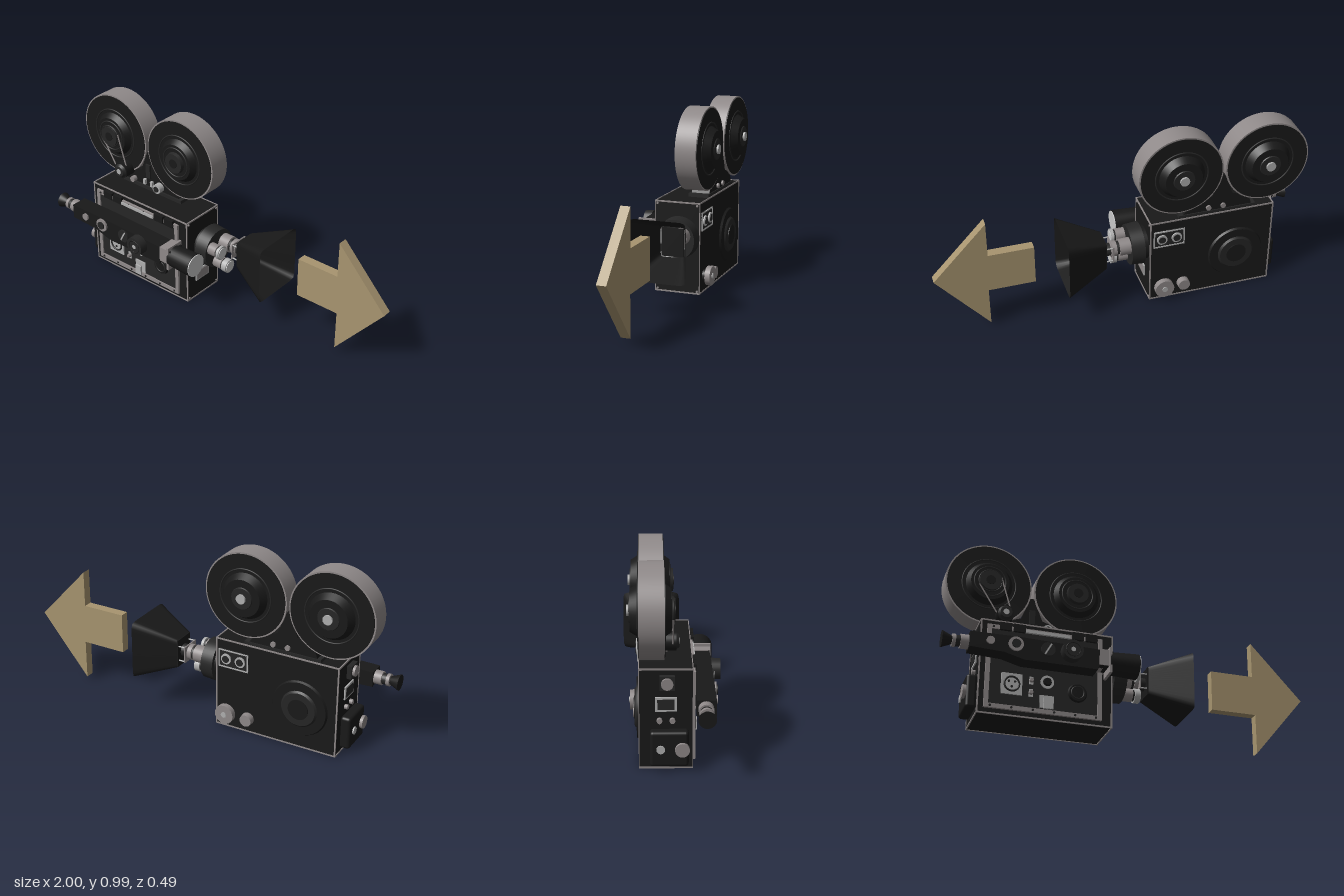
import * as THREE from 'three';
import { RoundedBoxGeometry } from 'three/addons/geometries/RoundedBoxGeometry.js';

const mat = (color) => new THREE.MeshStandardMaterial({ color });
const black = mat(0x191919), dark = mat(0x262626), steel = mat(0x8f8989), silver = mat(0xb0b0b0);
const glass = mat(0xcfcfcf), tan = mat(0xa89570);
const hoodBlack = mat(0x191919);
hoodBlack.side = THREE.DoubleSide;

export function createModel() {
  const root = new THREE.Group();
  let part = root;
  const group = (name) => { part = new THREE.Group(); part.name = name; root.add(part); };
  const add = (name, geo, m, x = 0, y = 0, z = 0) => {
    const mesh = new THREE.Mesh(geo, m);
    mesh.name = name;
    mesh.position.set(x, y, z);
    part.add(mesh);
    return mesh;
  };
  // box given by its extents on each axis
  const box = (name, m, [x0, x1], [y0, y1], [z0, z1]) =>
    add(name, new THREE.BoxGeometry(x1 - x0, y1 - y0, z1 - z0), m, (x0 + x1) / 2, (y0 + y1) / 2, (z0 + z1) / 2);
  // cylinder along z or x from a to b, with radius ra at a and rb at b
  const cylZ = (name, m, x, y, a, b, ra, rb = ra, seg = 32) => {
    const c = add(name, new THREE.CylinderGeometry(rb, ra, b - a, seg), m, x, y, (a + b) / 2);
    c.rotation.x = Math.PI / 2;
    return c;
  };
  const cylX = (name, m, y, z, a, b, ra, rb = ra, seg = 32) => {
    const c = add(name, new THREE.CylinderGeometry(rb, ra, b - a, seg), m, (a + b) / 2, y, z);
    c.rotation.z = -Math.PI / 2;
    return c;
  };
  const ringZ = (name, m, x, y, z, r, t) => add(name, new THREE.TorusGeometry(r, t, 8, 40), m, x, y, z);
  const poly = (pts) => new THREE.Shape(pts.map((p) => new THREE.Vector2(...p)));
  const extrude = (shape, depth) => new THREE.ExtrudeGeometry(shape, { depth, bevelEnabled: false });
  const rect = (x0, x1, y0, y1) => [[x0, y0], [x1, y0], [x1, y1], [x0, y1]];
  const frame = (name, m, x0, x1, y0, y1, w, z, depth) => {
    const s = poly(rect(x0, x1, y0, y1));
    s.holes.push(poly(rect(x0 + w, x1 - w, y0 + w, y1 - w)));
    return add(name, extrude(s, depth), m, 0, 0, z);
  };

  // Camera body with metal edge trim and corner screws
  group('cameraBody');
  box('bodyShell', black, [-0.8, -0.125], [0.004, 0.496], [-0.155, 0.095]);
  for (const z of [-0.157, 0.093]) frame('edgeTrim', steel, -0.803, -0.122, 0, 0.5, 0.008, z, 0.004);
  for (const x of [-0.8, -0.125]) for (const y of [0.004, 0.496])
    box('edgeStrip', steel, [x - 0.003, x + 0.003], [y - 0.004, y + 0.004], [-0.157, 0.097]);
  for (const y of [0.016, 0.484]) for (const z of [-0.142, 0.082])
    cylX('cornerScrew', steel, y, z, -0.125, -0.119, 0.006, 0.006, 12);

  // Side door with raised metal frame
  group('sideDoor');
  frame('doorFrame', steel, -0.77, -0.18, 0.03, 0.47, 0.022, 0.094, 0.014);
  box('doorPanel', dark, [-0.75, -0.2], [0.05, 0.45], [0.09, 0.101]);
  box('doorHinge', silver, [-0.58, -0.35], [0.447, 0.463], [0.1, 0.114]);
  for (const x of [-0.68, -0.61, -0.31, -0.24]) box('hingeLeaf', black, [x - 0.03, x + 0.03], [0.445, 0.485], [0.095, 0.115]);
  for (let i = 0; i < 6; i++) for (const y of [0.041, 0.459])
    cylZ('doorScrew', dark, -0.74 + i * 0.106, y, 0.1, 0.111, 0.006, 0.006, 10);

  // Controls below the viewfinder
  group('doorControls');
  box('socketPlate', silver, [-0.69, -0.585], [0.11, 0.22], [0.1, 0.108]);
  ringZ('socketRing', dark, -0.637, 0.165, 0.109, 0.037, 0.005);
  for (const [dx, dy] of [[-0.015, 0.012], [0.015, 0.012], [0, -0.015]])
    cylZ('socketPin', dark, -0.637 + dx, 0.165 + dy, 0.1, 0.112, 0.006, 0.006, 10);
  for (const y of [0.13, 0.195]) {
    box('togglePlate', silver, [-0.55, -0.53], [y - 0.02, y + 0.02], [0.1, 0.106]);
    cylZ('toggle', steel, -0.54, y, 0.1, 0.122, 0.012, 0.009, 12);
  }
  cylZ('speedKnobBase', silver, -0.46, 0.197, 0.1, 0.108, 0.034);
  cylZ('speedKnob', black, -0.46, 0.197, 0.108, 0.12, 0.022, 0.018);
  box('latchPlate', silver, [-0.495, -0.425], [0.06, 0.125], [0.1, 0.108]);
  cylZ('latchShaft', steel, -0.46, 0.09, 0.1, 0.126, 0.01);
  box('latchHandle', silver, [-0.48, -0.44], [0.05, 0.105], [0.118, 0.128]);
  cylZ('counterDial', black, -0.305, 0.16, 0.1, 0.112, 0.05, 0.044);
  ringZ('counterRing', dark, -0.305, 0.16, 0.112, 0.032, 0.004);

  // Viewfinder along the door
  group('viewfinder');
  add('finderHousing', extrude(poly([[-0.87, 0.292], [-0.7, 0.285], [-0.6, 0.258], [-0.23, 0.258], [-0.22, 0.285],
    [-0.15, 0.285], [-0.15, 0.365], [-0.62, 0.375], [-0.87, 0.372]]), 0.09), black, 0, 0, 0.11);
  box('finderMount', dark, [-0.65, -0.22], [0.28, 0.36], [0.095, 0.115]);
  box('finderClamp', steel, [-0.222, -0.17], [0.285, 0.37], [0.105, 0.204]);
  box('lensBracket', steel, [-0.172, -0.158], [0.25, 0.385], [0.1, 0.208]);
  cylX('finderLens', black, 0.318, 0.157, -0.165, -0.015, 0.058, 0.065);
  cylX('finderGlass', glass, 0.318, 0.157, -0.016, -0.01, 0.062);
  cylX('eyepieceTube', steel, 0.332, 0.152, -0.91, -0.868, 0.036);
  cylX('eyepieceNeck', dark, 0.332, 0.152, -0.935, -0.908, 0.028);
  cylX('eyepieceCollar', steel, 0.332, 0.152, -0.95, -0.933, 0.032);
  cylX('eyeCup', black, 0.332, 0.152, -1, -0.948, 0.042, 0.02);
  cylZ('finderScrew', steel, -0.77, 0.335, 0.2, 0.21, 0.02);
  cylZ('finderDialBase', steel, -0.645, 0.333, 0.2, 0.21, 0.037);
  cylZ('finderDial', dark, -0.645, 0.333, 0.21, 0.217, 0.022);
  cylZ('slottedCap', dark, -0.485, 0.328, 0.2, 0.208, 0.036);
  box('capSlot', silver, [-0.489, -0.481], [0.295, 0.361], [0.207, 0.21]).rotation.z = -0.5;
  cylZ('focusKnob', dark, -0.368, 0.328, 0.2, 0.245, 0.054, 0.052, 24);
  ringZ('focusKnobRing', black, -0.368, 0.328, 0.243, 0.036, 0.003);
  cylZ('focusKnobCap', silver, -0.368, 0.328, 0.243, 0.2465, 0.012);

  // Lens turret with three lenses
  group('lensTurret');
  cylX('turretBase', black, 0.315, -0.05, -0.125, -0.09, 0.09);
  cylX('turretDisc', dark, 0.315, -0.05, -0.1, -0.03, 0.113, 0.108, 48);
  for (const [y, z, end] of [[0.345, 0.01, 0.045], [0.245, -0.035, 0.06]]) {
    cylX('lensBarrel', steel, y, z, -0.03, 0.02, 0.034);
    cylX('lensRing', dark, y, z, 0.02, 0.03, 0.03);
    cylX('lensFront', silver, y, z, 0.03, end, 0.038);
    cylX('lensGlass', glass, y, z, end, end + 0.004, 0.031);
  }
  cylX('mainLensBarrel', steel, 0.34, -0.092, -0.03, 0.03, 0.045);
  cylX('mainLensRing', dark, 0.34, -0.092, 0.03, 0.045, 0.036);
  cylX('mainLensFront', steel, 0.34, -0.092, 0.045, 0.078, 0.042);
  cylX('mainLensNeck', dark, 0.34, -0.092, 0.078, 0.112, 0.034);

  // Matte box: a tapered tube with rounded square section
  group('matteBox');
  const hood = new THREE.CylinderGeometry(1, 1, 0.22, 64, 1, true);
  const p = hood.attributes.position;
  for (let i = 0; i < p.count; i++) {
    const c = p.getX(i), s = p.getZ(i), front = p.getY(i) > 0;
    const k = Math.pow(Math.pow(Math.abs(c), 14) + Math.pow(Math.abs(s), 14), -1 / 14);
    p.setX(i, c * k * (front ? 0.16 : 0.08));
    p.setZ(i, s * k * (front ? 0.152 : 0.065));
  }
  hood.computeVertexNormals();
  add('hood', hood, hoodBlack, 0.222, 0.34, -0.092).rotation.z = -Math.PI / 2;
  box('hoodBack', black, [0.108, 0.116], [0.265, 0.415], [-0.152, -0.032]);
  for (const y of [0.3, 0.38]) for (const z of [-0.142, -0.042]) cylX('hoodRod', silver, y, z, 0.07, 0.11, 0.004, 0.004, 8);
  box('rodBracket', steel, [0.068, 0.074], [0.295, 0.385], [-0.147, -0.037]);

  // Film magazines
  for (const [x, isTakeUp] of [[-0.748, true], [-0.285, false]]) {
    group(isTakeUp ? 'takeUpMagazine' : 'feedMagazine');
    const y = 0.764;
    cylZ('magazineRim', steel, x, y, -0.153, -0.037, 0.225, 0.225, 72);
    for (const s of [-1, 1]) {
      cylZ('magazineCover', black, x, y, s > 0 ? -0.05 : -0.156, s > 0 ? -0.034 : -0.14, 0.217, 0.217, 64);
      ringZ('coverBead', dark, x, y, s > 0 ? -0.034 : -0.156, 0.14, 0.004);
    }
    cylZ('frontDome', black, x, y, -0.035, -0.004, 0.122, 0.1, 48);
    cylZ('frontHub', dark, x, y, -0.006, 0.014, 0.06, 0.055);
    ringZ('hubRing', dark, x, y, -0.004, 0.082, 0.004);
    cylZ('frontHubCap', black, x, y, 0.013, 0.017, 0.025);
    cylZ('backDome', black, x, y, -0.193, -0.155, 0.098, 0.122, 48);
    cylZ('backHub', dark, x, y, -0.198, -0.19, 0.055, 0.06);
    cylZ('backKnob', silver, x, y, -0.208, -0.195, 0.025);
  }

  // Magazine saddle and take-up drive
  group('magazineBase');
  box('basePlate', dark, [-0.7, -0.28], [0.494, 0.515], [-0.15, -0.035]);
  add('saddle', extrude(poly([[-0.68, 0.51], [-0.3, 0.51], [-0.34, 0.56], [-0.46, 0.6], [-0.505, 0.72],
    [-0.525, 0.72], [-0.57, 0.6], [-0.66, 0.57]]), 0.1), black, 0, 0, -0.145);
  box('saddleSlot', dark, [-0.53, -0.5], [0.57, 0.65], [-0.046, -0.035]);
  for (const x of [-0.54, -0.49]) {
    box('baseLatch', silver, [x - 0.008, x + 0.008], [0.525, 0.555], [-0.046, -0.03]);
  }
  cylZ('baseKnob', silver, -0.435, 0.54, -0.05, -0.012, 0.027);
  cylZ('baseKnobCap', dark, -0.435, 0.54, -0.012, -0.006, 0.016);
  cylZ('baseStud', steel, -0.62, 0.53, -0.05, -0.02, 0.016);
  for (const x of [-0.52, -0.44]) cylZ('rearStud', steel, x, 0.535, -0.155, -0.14, 0.014);
  cylZ('drivePulley', black, -0.665, 0.586, -0.045, 0.02, 0.045);
  cylZ('drivePulleyCap', dark, -0.665, 0.586, 0.02, 0.034, 0.04, 0.03);
  cylZ('drivePulleyScrew', silver, -0.665, 0.586, 0.033, 0.037, 0.015);
  // belt tangent to both pulleys
  const dir = new THREE.Vector2(0.083, -0.178).normalize();
  for (const s of [-1, 1]) {
    const at = (x, y, r) => new THREE.Vector3(x - s * dir.y * r, y + s * dir.x * r, 0);
    const belt = new THREE.LineCurve3(at(-0.748, 0.764, 0.062), at(-0.665, 0.586, 0.036));
    add('driveBelt', new THREE.TubeGeometry(belt, 1, 0.004, 8), steel, 0, 0, 0.004);
  }
  ringZ('beltWrap', dark, -0.748, 0.764, 0.004, 0.06, 0.004);

  // Far side: gauges, motor cover and knobs
  group('farSide');
  box('gaugePlate', dark, [-0.31, -0.14], [0.345, 0.445], [-0.162, -0.154]);
  frame('gaugeFrame', silver, -0.31, -0.14, 0.345, 0.445, 0.007, -0.165, 0.006);
  for (const x of [-0.265, -0.185]) {
    cylZ('gauge', silver, x, 0.395, -0.17, -0.16, 0.028);
    cylZ('gaugeFace', dark, x, 0.395, -0.173, -0.168, 0.019);
  }
  cylZ('motorCover', black, -0.6, 0.225, -0.166, -0.154, 0.145, 0.152, 56);
  cylZ('motorCoverCenter', dark, -0.6, 0.225, -0.176, -0.165, 0.09, 0.1, 48);
  cylZ('motorCap', black, -0.6, 0.225, -0.18, -0.175, 0.055);
  cylZ('crankShaft', dark, -0.195, 0.092, -0.18, -0.155, 0.03);
  cylZ('crankKnob', steel, -0.195, 0.092, -0.205, -0.176, 0.052, 0.052, 20);
  cylZ('crankCap', silver, -0.195, 0.092, -0.209, -0.204, 0.015);
  cylZ('smallKnob', steel, -0.31, 0.08, -0.188, -0.155, 0.032, 0.034, 20);

  // Ends: name-free plate, motor box and rear fittings
  group('endFittings');
  box('plateRim', silver, [-0.125, -0.118], [0.104, 0.17], [-0.075, 0.03]);
  box('plateFace', steel, [-0.12, -0.116], [0.111, 0.163], [-0.068, 0.023]);
  add('rearMotorBox', new RoundedBoxGeometry(0.055, 0.175, 0.18, 3, 0.015), black, -0.825, 0.118, -0.015);
  cylX('rearMotorKnob', steel, 0.12, 0.045, -0.868, -0.85, 0.034);
  cylX('rearSocket', silver, 0.12, -0.055, -0.86, -0.85, 0.02);
  box('rearPlate', silver, [-0.807, -0.8], [0.29, 0.36], [-0.08, 0.02]);
  box('rearWindow', dark, [-0.81, -0.806], [0.3, 0.35], [-0.07, 0.01]);
  box('rearBracket', dark, [-0.825, -0.8], [0.4, 0.47], [-0.06, 0.01]);
  cylX('rearKnob', steel, 0.435, -0.025, -0.838, -0.82, 0.028);
  for (const z of [-0.06, 0]) cylX('rearSwitch', steel, 0.245, z, -0.818, -0.8, 0.013, 0.013, 16);

  // Direction arrow in front of the lens
  group('directionArrow');
  add('arrow', extrude(poly([[0.48, 0.238], [0.727, 0.238], [0.727, 0.022], [1, 0.352], [0.718, 0.655],
    [0.718, 0.458], [0.48, 0.458]]), 0.05), tan, 0, 0, -0.115);
  return root;
}
